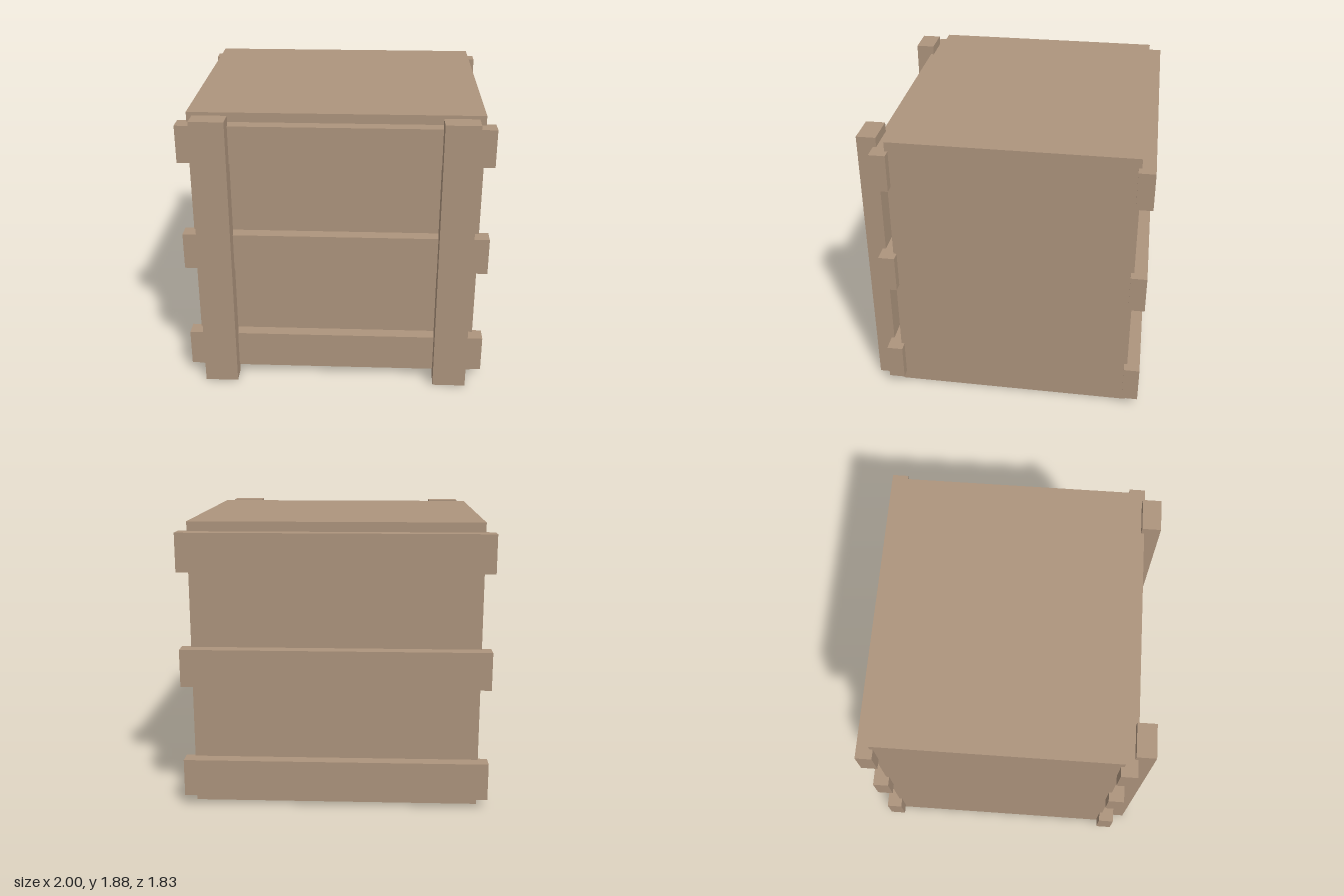
import * as THREE from 'three';

export function createModel() {
  const crate = new THREE.Group();
  crate.name = 'crate';
  const wood = new THREE.MeshStandardMaterial({ color: 0xad947d });
  wood.name = 'wood';

  // Box given by its lower and upper corners
  function addBox(name, [x0, y0, z0], [x1, y1, z1]) {
    const mesh = new THREE.Mesh(new THREE.BoxGeometry(x1 - x0, y1 - y0, z1 - z0), wood);
    mesh.position.set((x0 + x1) / 2, (y0 + y1) / 2, (z0 + z1) / 2);
    mesh.name = name;
    crate.add(mesh);
  }

  addBox('crateBody', [-0.9375, 0, -0.833], [0.9375, 1.875, 0.729]);

  // Three horizontal slats on the front and on the back
  ['lower', 'middle', 'upper'].forEach((level, i) => {
    const y = 0.065 + i * 0.75;
    addBox(level + 'FrontSlat', [-1, y, 0.708], [1, y + 0.248, 0.8135]);
    addBox(level + 'BackSlat', [-1, y, -0.917], [1, y + 0.248, -0.8125]);
  });

  // Two upright posts over the front slats
  addBox('leftPost', [0.669, 0, 0.793], [0.888, 1.875, 0.917]);
  addBox('rightPost', [-0.888, 0, 0.793], [-0.669, 1.875, 0.917]);

  return crate;
}
